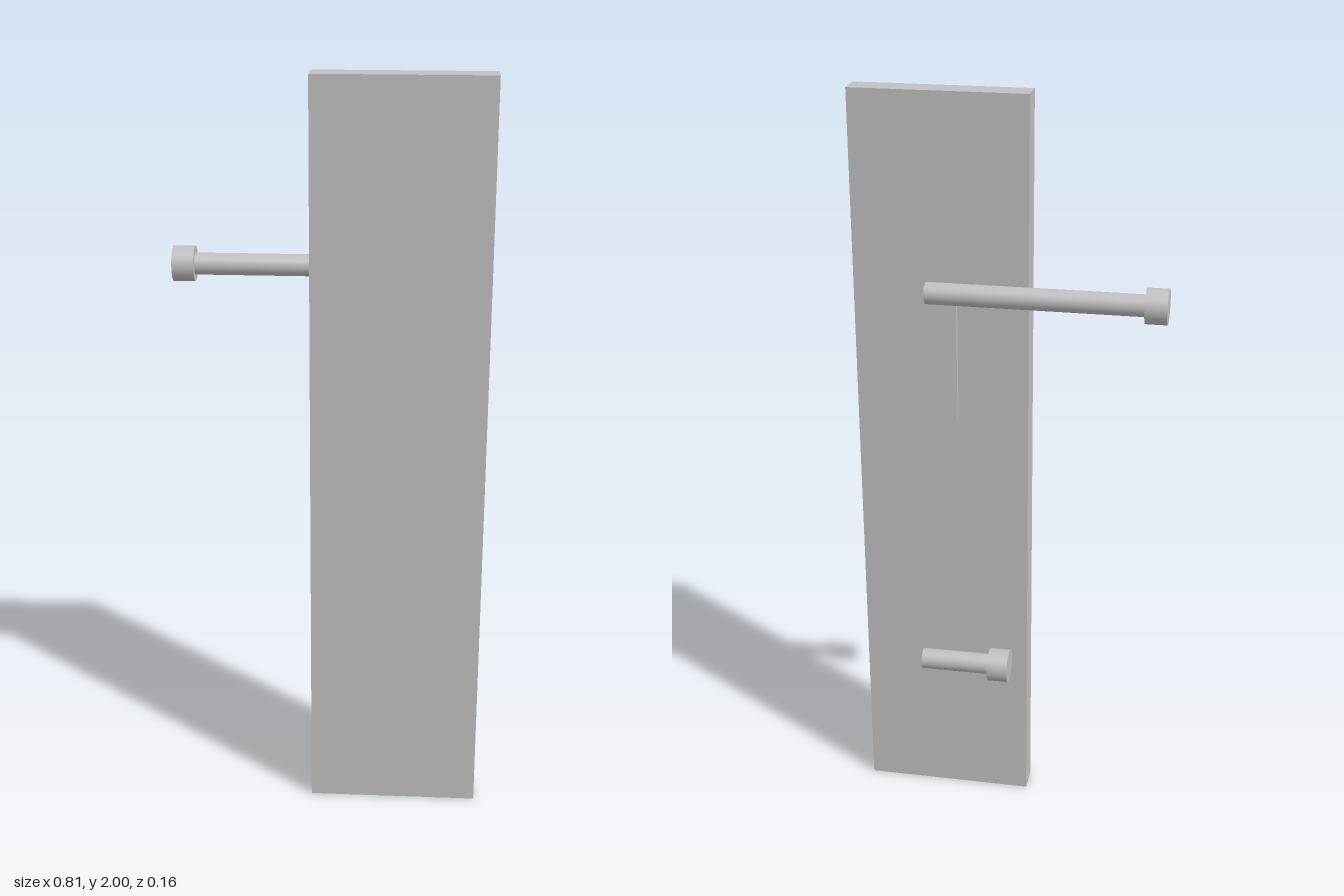
import * as THREE from 'three';

export function createModel() {
  const group = new THREE.Group();
  group.name = 'doorPanelWithBolts';
  const grey = new THREE.MeshStandardMaterial({ color: 0xc0c0c0 });
  grey.name = 'plain grey';

  // Box given by its low and high corners
  function box(name, x0, x1, y0, y1, z0, z1) {
    const mesh = new THREE.Mesh(new THREE.BoxGeometry(x1 - x0, y1 - y0, z1 - z0), grey);
    mesh.position.set((x0 + x1) / 2, (y0 + y1) / 2, (z0 + z1) / 2);
    mesh.name = name;
    group.add(mesh);
  }

  // Cylinder lying along x
  function rod(name, x0, x1, y, radius) {
    const geometry = new THREE.CylinderGeometry(radius, radius, x1 - x0, 48);
    geometry.rotateZ(Math.PI / 2);
    const mesh = new THREE.Mesh(geometry, grey);
    mesh.position.set((x0 + x1) / 2, y, -0.036);
    mesh.name = name;
    group.add(mesh);
  }

  // Main slab and the thin strip on its back
  box('panel', -0.05, 0.405, 0, 2, 0.008, 0.079);
  box('backStrip', 0.135, 0.22, 1.15, 1.503, -0.005, 0.008);

  // Long upper bolt and short lower bolt, each with a wider head
  const bolts = [
    ['upper', -0.406, 0.205, 1.503],
    ['lower', -0.008, 0.235, 0.432],
  ];
  for (const [name, start, end, y] of bolts) {
    rod(name + 'BoltHead', start, start + 0.056, y, 0.045);
    rod(name + 'BoltShaft', start + 0.056, end, y, 0.028);
  }
  return group;
}
